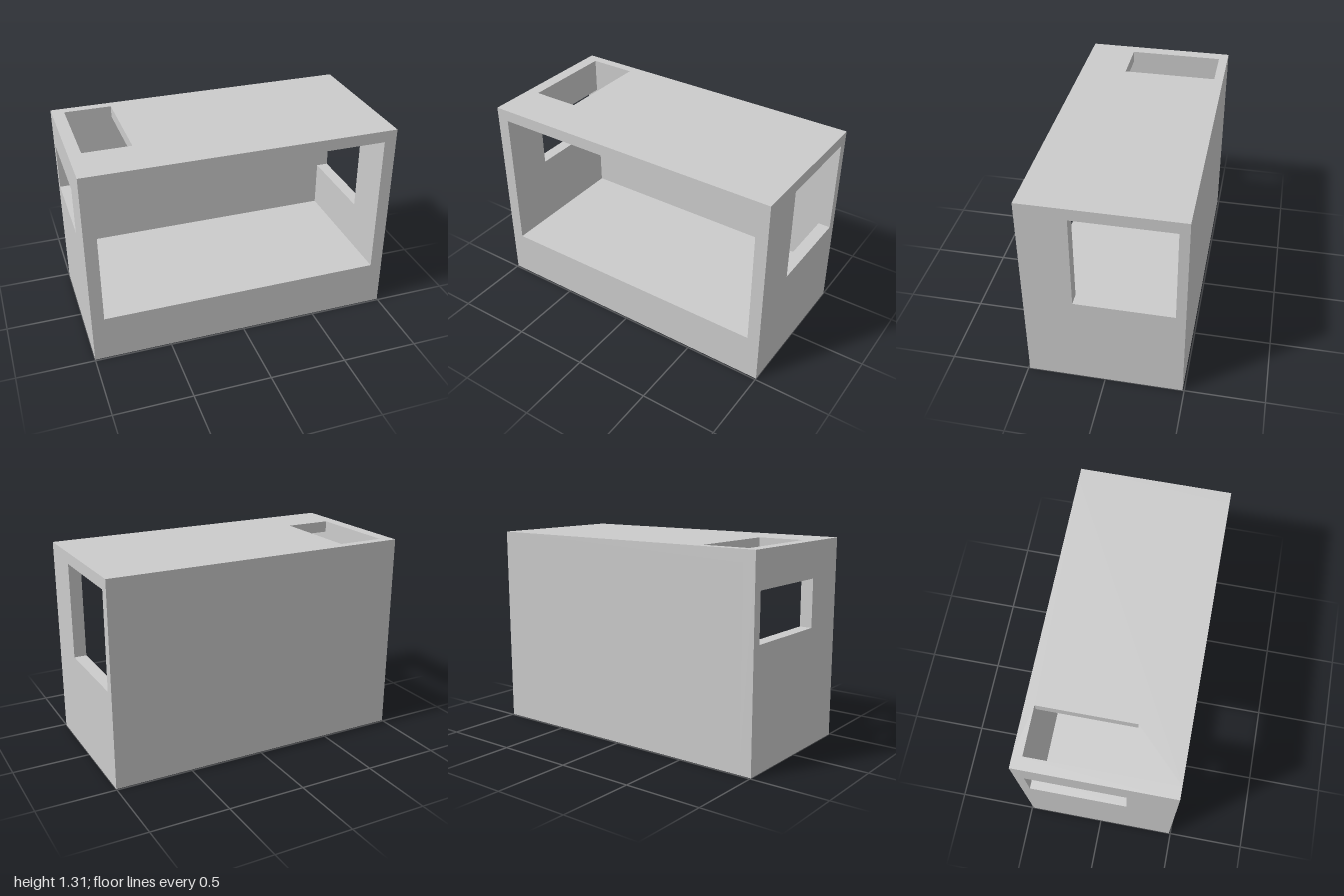
import * as THREE from 'three';

const W = 1, H = 1.31, D = 0.49;               // half width, height, half depth
const SIDE = 0.08, ROOF = 0.075, BACK = 0.06;  // wall thicknesses
const FLOOR = 0.305;                           // top of the solid base
const HOLE_BACK = -D + BACK, HOLE_FRONT = 0.185; // depth range shared by all openings

const material = new THREE.MeshStandardMaterial({ color: 0xcccccc, flatShading: true });

const corners = (a0, a1, b0, b1) =>
  [[a0, b0], [a1, b0], [a1, b1], [a0, b1]].map(([a, b]) => new THREE.Vector2(a, b));

function mesh(name, geometry) {
  const m = new THREE.Mesh(geometry, material);
  m.name = name;
  return m;
}

function block(name, x0, x1, y0, y1, z0, z1) {
  const g = new THREE.BoxGeometry(x1 - x0, y1 - y0, z1 - z0);
  g.translate((x0 + x1) / 2, (y0 + y1) / 2, (z0 + z1) / 2);
  return mesh(name, g);
}

// Side wall drawn in (z, y) with a window, extruded along x
function sideWall(name, outerX, windowBottom, windowTop) {
  const shape = new THREE.Shape(corners(-D, D, 0, H));
  shape.holes.push(new THREE.Path(corners(HOLE_BACK, HOLE_FRONT, windowBottom, windowTop)));
  const g = new THREE.ExtrudeGeometry(shape, { depth: SIDE, bevelEnabled: false });
  g.rotateY(-Math.PI / 2).translate(outerX, 0, 0);
  return mesh(name, g);
}

// Roof panel drawn in (x, z), notched beside the right wall to leave the hatch
function roofPanel() {
  const x = W - SIDE, hatchX = -0.613;
  const shape = new THREE.Shape([
    [-x, -D], [x, -D], [x, D], [-x, D],
    [-x, HOLE_FRONT], [hatchX, HOLE_FRONT], [hatchX, HOLE_BACK], [-x, HOLE_BACK],
  ].map(([a, b]) => new THREE.Vector2(a, b)));
  const g = new THREE.ExtrudeGeometry(shape, { depth: ROOF, bevelEnabled: false });
  g.rotateX(Math.PI / 2).translate(0, H, 0);
  return mesh('roof', g);
}

export function createModel() {
  const model = new THREE.Group();
  model.name = 'openFrontBox';
  const x = W - SIDE;
  model.add(
    block('base', -x, x, 0, FLOOR, -D, D),
    block('backWall', -x, x, FLOOR, H - ROOF, -D, HOLE_BACK),
    sideWall('leftWall', W, 0.615, H - ROOF),
    sideWall('rightWall', -W + SIDE, 0.772, 1.08),
    roofPanel(),
  );
  return model;
}
